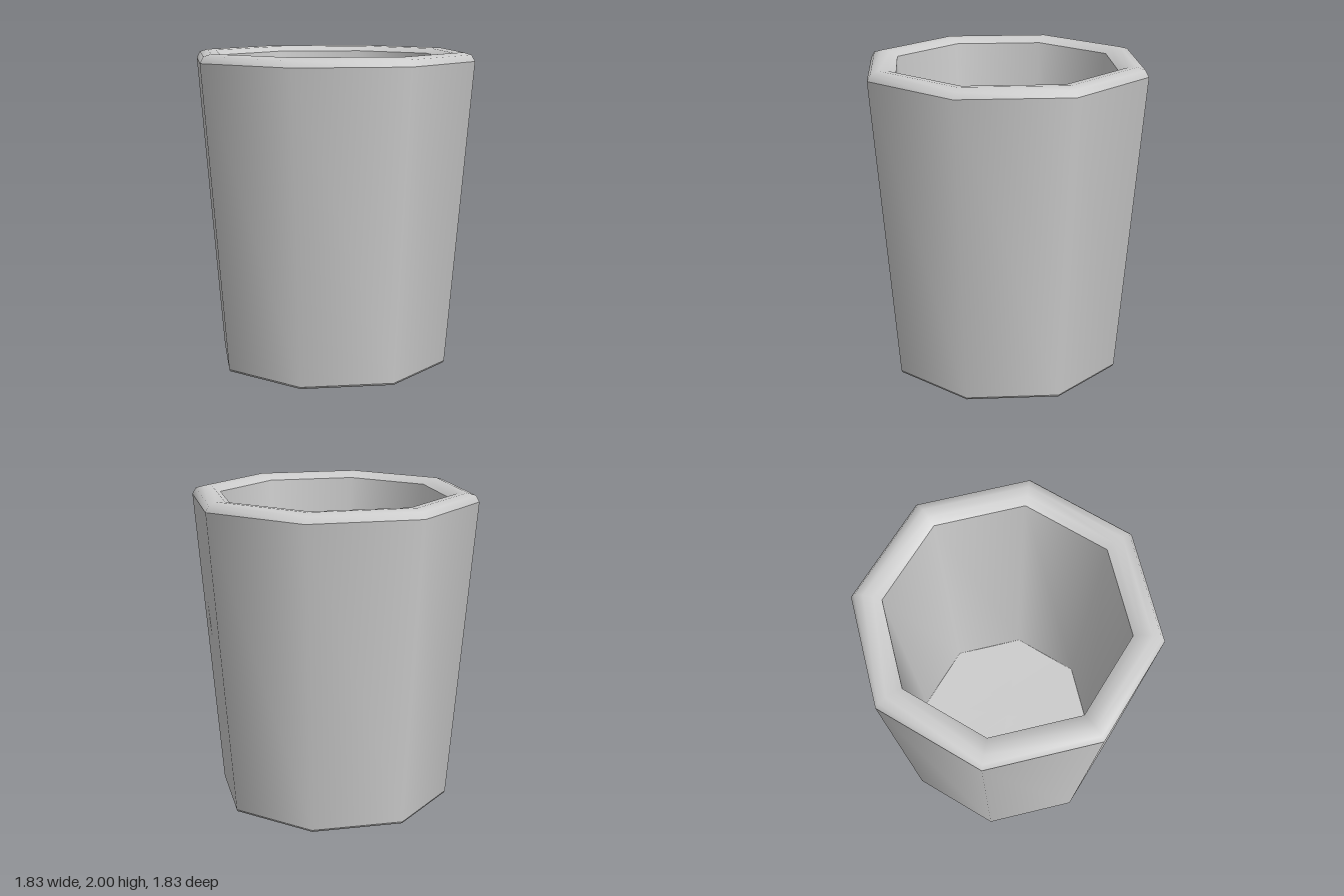
import * as THREE from 'three';

// Eight-sided tapered pot with thick walls, a rounded rim and a flat floor.
export function createModel() {
  const pot = new THREE.Group();
  pot.name = 'pot';
  const material = new THREE.MeshStandardMaterial({ color: 0xcccccc });

  // Turn a profile of [radius, height] pairs into a smooth eight-sided ring
  function turn(name, profile) {
    const points = profile.map(([r, y]) => new THREE.Vector2(r, y));
    const mesh = new THREE.Mesh(new THREE.LatheGeometry(points, 8), material);
    mesh.name = name;
    pot.add(mesh);
  }

  // Underside with a tiny softened edge
  turn('base', [[0, 0], [0.747, 0], [0.752, 0.012]]);
  // Tapered outside
  turn('outerWall', [[0.752, 0.012], [0.915, 1.945]]);
  // Rounded lip, from outside over to inside
  turn('rim', [[0.915, 1.945], [0.892, 1.985], [0.84, 2], [0.78, 1.995], [0.73, 1.965]]);
  // Tapered inside, down to the floor
  turn('innerWall', [[0.73, 1.965], [0.582, 0.18]]);
  // Floor, softly blended into the wall
  turn('floor', [[0.582, 0.18], [0.579, 0.17], [0, 0.17]]);

  return pot;
}
